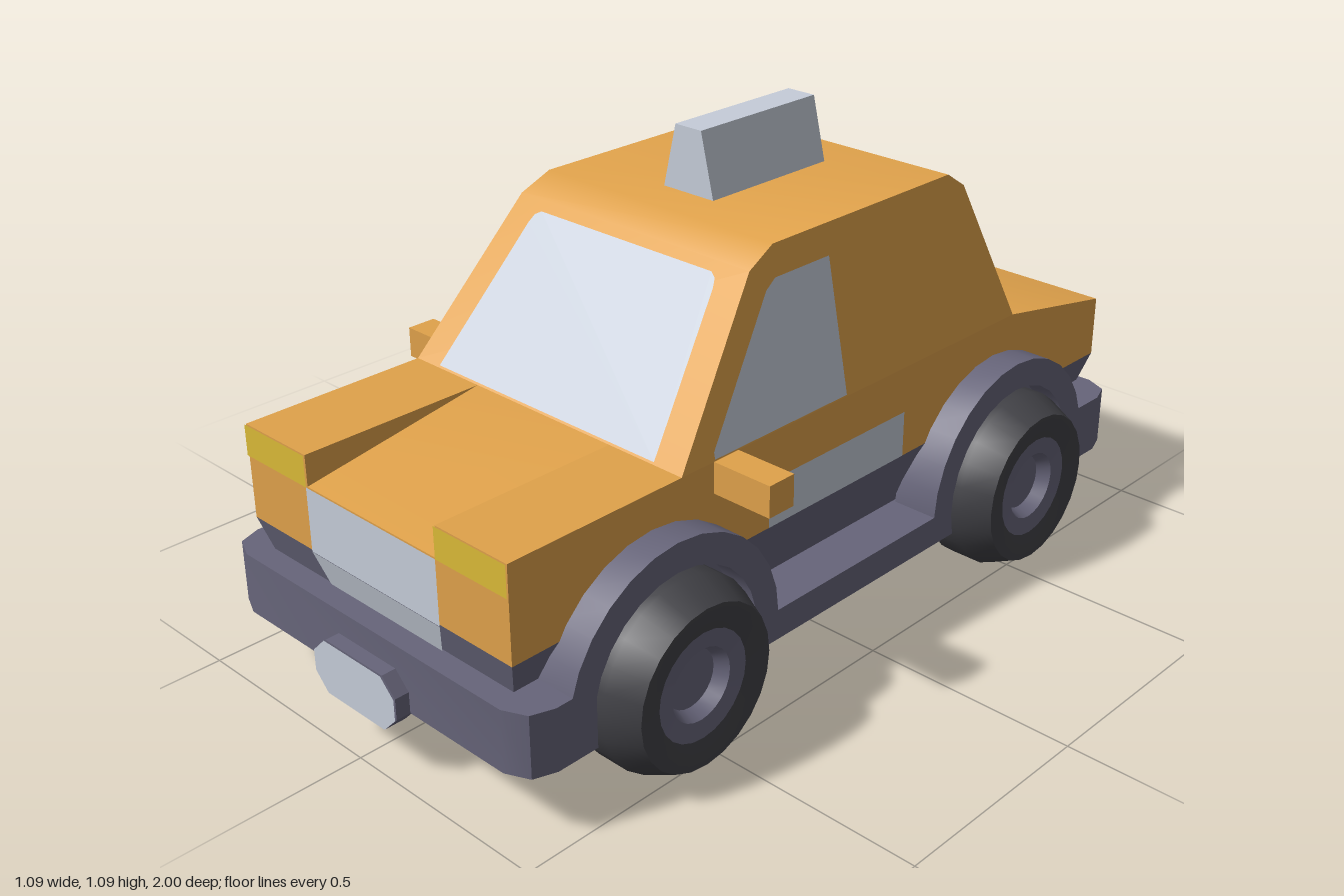
import * as THREE from 'three';
import { toCreasedNormals } from 'three/addons/utils/BufferGeometryUtils.js';

const material = (name, color) => {
  const m = new THREE.MeshStandardMaterial({ color });
  m.name = name;
  return m;
};

export function createModel() {
  const orange = material('orange paint', 0xe0a24b);
  const trim = material('slate trim', 0x67657a);
  const rubber = material('dark rubber', 0x414146);
  const silver = material('silver glass', 0xc6cdd9);
  const yellow = material('headlight yellow', 0xdcbb38);
  const red = material('tail light red', 0xcc4a42);
  const model = new THREE.Group();

  const add = (name, geometry, mat, crease = 0.6) => {
    const mesh = new THREE.Mesh(toCreasedNormals(geometry, crease), mat);
    mesh.name = name;
    model.add(mesh);
    return mesh;
  };
  const extrude = (points, depth) => new THREE.ExtrudeGeometry(
    new THREE.Shape(points.map(([a, b]) => new THREE.Vector2(a, b))),
    { depth, bevelEnabled: false });

  // Side profile of [z, y] points, extruded from x0 to x1; taper scales x by height
  const prism = (points, x0, x1, taper) => {
    const g = extrude(points.map(([z, y]) => [-z, y]), x1 - x0);
    g.rotateY(Math.PI / 2).translate(x0, 0, 0);
    if (taper) {
      const p = g.attributes.position;
      for (let i = 0; i < p.count; i++) p.setX(i, p.getX(i) * taper(p.getY(i)));
    }
    return g;
  };

  // Flat convex panel, lifted slightly toward the outward direction
  const panel = (name, corners, outward, mat) => {
    const v = corners.map(c => new THREE.Vector3(...c));
    const n = v[1].clone().sub(v[0]).cross(v[2].clone().sub(v[0])).normalize();
    if (n.dot(new THREE.Vector3(...outward)) < 0) {
      n.negate();
      v.reverse();
    }
    v.forEach(p => p.addScaledVector(n, 0.004));
    const tris = [];
    for (let i = 1; i < v.length - 1; i++) tris.push(v[0], v[i], v[i + 1]);
    add(name, new THREE.BufferGeometry().setFromPoints(tris), mat);
  };

  // Body, cabin and skirt
  add('lowerBody', prism([[0.93, 0.365], [0.93, 0.51], [0.49, 0.58], [-0.6, 0.58],
    [-0.96, 0.51], [-0.96, 0.365]], -0.4, 0.4), orange);
  const cabinHalf = y => 0.4 - 0.2 * (y - 0.58);
  add('cabin', prism([[0.49, 0.58], [0.23, 0.91], [0.155, 0.945], [-0.42, 0.945],
    [-0.47, 0.91], [-0.6, 0.58]], -0.4, 0.4, y => cabinHalf(y) / 0.4), orange);
  add('skirt', prism([[0.93, 0.365], [0.89, 0.22], [-0.925, 0.22], [-0.96, 0.365]],
    -0.4, 0.4, y => 1 - 0.8 * (0.365 - y)), trim);

  // Windscreen and rear window
  const frontZ = y => 0.49 - 0.26 * (y - 0.58) / 0.33;
  const rearZ = y => -0.6 + 0.13 * (y - 0.58) / 0.33;
  const screen = (outline, zAt) => [
    ...outline.map(([x, y]) => [x, y, zAt(y)]),
    ...outline.map(([x, y]) => [-x, y, zAt(y)]).reverse()];
  panel('windscreen', screen([[0.325, 0.584], [0.272, 0.865], [0.265, 0.882], [0.25, 0.89]], frontZ),
    [0, 0, 1], silver);
  panel('rearWindow', screen([[0.3, 0.625], [0.31, 0.64], [0.272, 0.85], [0.255, 0.865]], rearZ),
    [0, 0, -1], silver);

  // Grille, folding back over the skirt
  panel('grille', [[-0.2, 0.365, 0.93], [0.2, 0.365, 0.93], [0.2, 0.51, 0.93], [-0.2, 0.51, 0.93]],
    [0, 0, 1], silver);
  panel('lowerGrille', [[-0.175, 0.29, 0.909], [0.175, 0.29, 0.909], [0.2, 0.365, 0.93], [-0.2, 0.365, 0.93]],
    [0, 0, 1], silver);

  // Roof sign
  add('roofSign', extrude([[-0.073, 0.94], [0.073, 0.94], [0.037, 1.09], [-0.037, 1.09]], 0.36)
    .translate(0, 0, -0.305), silver);

  // Chassis floor and sill
  add('floor', new THREE.BoxGeometry(0.66, 0.08, 1.8).translate(0, 0.19, 0), trim);
  add('sill', new THREE.BoxGeometry(0.94, 0.07, 0.65).translate(0, 0.185, 0.02), trim);

  // Bumpers with clipped corners, and their plates
  for (const [end, s, inner] of [['front', 1, 0.79], ['rear', -1, 0.75]]) {
    const half = [[0.47, inner], [0.47, 0.89], [0.452, 0.94], [0.4, 0.963]];
    const plan = [...half, ...half.map(([x, z]) => [-x, z]).reverse()];
    const bumper = extrude(plan, 0.14).rotateX(Math.PI / 2).translate(0, 0.29, 0);
    if (s < 0) bumper.rotateY(Math.PI);
    add(end + 'Bumper', bumper, trim);
    const octagon = [[0.127, 0.15], [0.127, 0.198], [0.09, 0.235], [-0.09, 0.235],
      [-0.127, 0.198], [-0.127, 0.15], [-0.09, 0.112], [0.09, 0.112]];
    add(end + 'PlateMount', extrude(octagon, 0.046).translate(0, 0, s > 0 ? 0.95 : -0.996), trim);
    panel(end + 'Plate', octagon.map(([x, y]) => [x, y, s * 0.996]), [0, 0, s], silver);
  }

  // Wheel profiles as [radius, distance from centre line]
  const lathe = points => new THREE.LatheGeometry(
    points.map(([r, d]) => new THREE.Vector2(r, d)), 24).rotateZ(-Math.PI / 2);
  const tyre = [[0, 0.34], [0.18, 0.34], [0.21, 0.395], [0.21, 0.475], [0.178, 0.545],
    [0.165, 0.545], [0.12, 0.535]];
  const hub = [[0.12, 0.535], [0.08, 0.53], [0.065, 0.5], [0, 0.5]];

  // Arc of [z, y] points about a wheel centre, ending level at the chassis underside
  const arc = (r, cz) => {
    const a0 = Math.asin(-0.06 / r), n = 16;
    return Array.from({ length: n + 1 }, (_, i) => {
      const a = a0 + (Math.PI - 2 * a0) * i / n;
      return [cz + r * Math.cos(a), 0.21 + r * Math.sin(a)];
    });
  };

  for (const s of [1, -1]) {
    const side = s > 0 ? 'left' : 'right';
    const span = (points, a, b) => prism(points, Math.min(s * a, s * b), Math.max(s * a, s * b));

    // Raised hood edges with headlights, and tail lights
    add(side + 'HoodEdge', span([[0.93, 0.51], [0.93, 0.58], [0.49, 0.58]], 0.2, 0.4), orange);
    const lamp = (y0, y1, z) => [[s * 0.2, y0, z], [s * 0.4, y0, z], [s * 0.4, y1, z], [s * 0.2, y1, z]];
    panel(side + 'Headlight', lamp(0.51, 0.58, 0.93), [0, 0, 1], yellow);
    panel(side + 'TailLight', lamp(0.44, 0.51, -0.96), [0, 0, -1], red);

    // Side window and door panel
    panel(side + 'Window', [[0.4, 0.585], [0, 0.585], [0, 0.88], [0.165, 0.88], [0.195, 0.862], [0.4, 0.6]]
      .map(([z, y]) => [s * cabinHalf(y), y, z]), [s, 0, 0], silver);
    panel(side + 'DoorPanel', [[0.24, 0.368], [-0.2, 0.368], [-0.2, 0.475], [0.228, 0.475], [0.24, 0.463]]
      .map(([z, y]) => [s * 0.4, y, z]), [s, 0, 0], silver);

    // Door mirror
    add(side + 'Mirror', new THREE.BoxGeometry(0.155, 0.07, 0.07).translate(s * 0.4675, 0.545, 0.365), orange);
    panel(side + 'MirrorGlass', [[0.4, 0.51], [0.545, 0.51], [0.545, 0.58], [0.4, 0.58]]
      .map(([x, y]) => [s * x, y, 0.33]), [0, 0, -1], silver);

    // Wheels, wells and arches
    for (const [end, z] of [['Front', 0.572], ['Rear', -0.53]]) {
      add(side + end + 'Arch', span([...arc(0.29, z), ...arc(0.225, z).reverse()], 0.36, 0.47), trim);
      add(side + end + 'WheelWell', span(arc(0.23, z), 0.36, 0.404), trim);
      for (const [part, profile, mat] of [['Tyre', tyre, rubber], ['Hub', hub, trim]]) {
        const wheel = add(side + end + part, lathe(profile), mat, 0.5);
        wheel.position.set(0, 0.21, z);
        if (s < 0) wheel.rotation.y = Math.PI;
      }
    }
  }
  return model;
}
